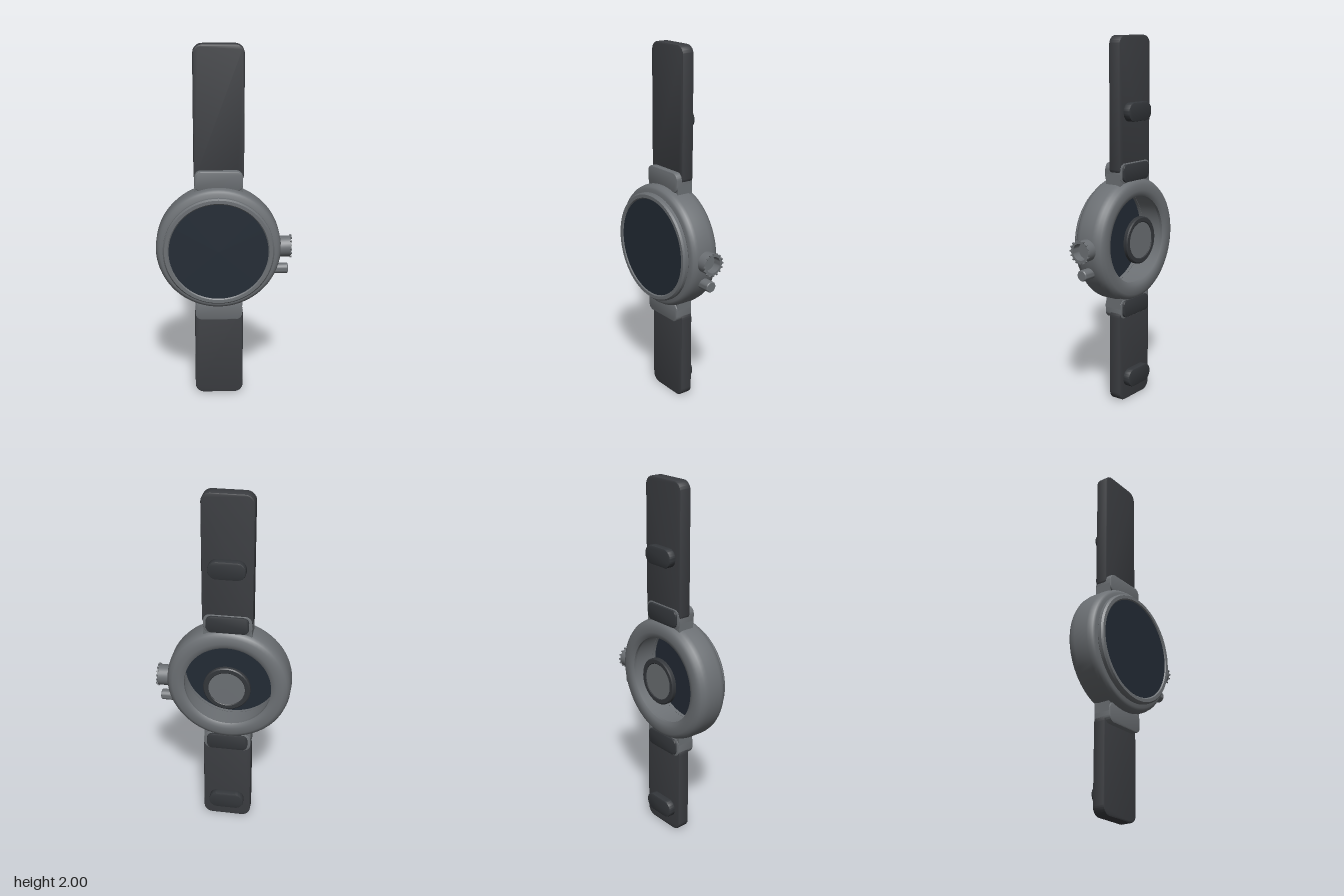
import * as THREE from 'three';
import { toCreasedNormals } from 'three/addons/utils/BufferGeometryUtils.js';

const CX = -0.03, CY = 0.905; // centre of the watch case

const mat = (color) => new THREE.MeshStandardMaterial({ color });
const metal = mat(0x6c7074);
const band = mat(0x3b3d41);
const glass = mat(0x232b35);
const dark = mat(0x34373b);

function add(parent, name, geometry, material, x = 0, y = 0, z = 0) {
  const mesh = new THREE.Mesh(toCreasedNormals(geometry, 0.6), material);
  mesh.name = name;
  mesh.position.set(x, y, z);
  parent.add(mesh);
  return mesh;
}

// Turned part whose axis points to the front; profile is [radius, z]
function turned(profile, segments = 72) {
  const pts = profile.map(([r, z]) => new THREE.Vector2(r, z));
  return new THREE.LatheGeometry(pts, segments).rotateX(Math.PI / 2);
}

// Rounded plate in the xy plane, spanning z0..z1, with bevelled edges
function plate(w, h, r, z0, z1, bevel) {
  const a = w / 2 - bevel, b = h / 2 - bevel, c = r - bevel;
  const s = new THREE.Shape();
  s.absarc(a - c, b - c, c, 0, Math.PI / 2);
  s.absarc(-a + c, b - c, c, Math.PI / 2, Math.PI);
  s.absarc(-a + c, -b + c, c, Math.PI, Math.PI * 1.5);
  s.absarc(a - c, -b + c, c, Math.PI * 1.5, Math.PI * 2);
  s.closePath();
  return new THREE.ExtrudeGeometry(s, {
    depth: z1 - z0 - 2 * bevel, curveSegments: 8,
    bevelEnabled: true, bevelThickness: bevel, bevelSize: bevel, bevelSegments: 2,
  }).translate(0, 0, z0 + bevel);
}

function createCase() {
  const g = new THREE.Group();
  g.name = 'watchCase';
  g.position.set(CX, CY, 0);
  // Hollow body, open at the back
  add(g, 'caseBody', turned([
    [0.24, -0.086], [0.252, -0.094], [0.27, -0.097], [0.305, -0.096], [0.325, -0.085], [0.337, -0.066],
    [0.342, -0.04], [0.342, 0.04], [0.338, 0.058], [0.33, 0.071], [0.318, 0.078],
    [0.27, 0.078], [0.27, -0.06], [0.24, -0.07], [0.24, -0.086],
  ]), metal);
  add(g, 'bezel', turned([
    [0.268, 0.07], [0.294, 0.076], [0.302, 0.084], [0.302, 0.102], [0.294, 0.112],
    [0.276, 0.112], [0.268, 0.104], [0.268, 0.07],
  ]), metal);
  add(g, 'screen', turned([[0, 0.09], [0.27, 0.09], [0.27, 0.107], [0, 0.107]]), glass);
  // Sensor held in the middle of the open back
  add(g, 'sensorRing', turned([
    [0.1, -0.11], [0.104, -0.113], [0.124, -0.113], [0.13, -0.108],
    [0.13, -0.09], [0.1, -0.09], [0.1, -0.11],
  ], 48), dark);
  add(g, 'sensorFace', turned([[0, -0.109], [0.102, -0.109], [0.102, -0.092], [0, -0.092]], 48), metal);
  return g;
}

// Strap half from y0 to y1 with its fastening stud on the back
function createStrap(name, y0, y1, studY) {
  const g = new THREE.Group();
  g.name = name;
  add(g, 'strapBand', plate(0.272, y1 - y0, 0.05, -0.07, 0, 0.006), band, -0.027, (y0 + y1) / 2);
  add(g, 'strapStud', plate(0.2, 0.1, 0.048, -0.108, -0.06, 0.006), dark, -0.027, studY);
  return g;
}

// Strap holder; dir is +1 above the case and -1 below it
function createLug(name, dir) {
  const g = new THREE.Group();
  g.name = name;
  const y = CY + dir * 0.375;
  add(g, 'lugPlate', plate(0.262, 0.11, 0.036, -0.072, 0.033, 0.005), metal, CX + 0.002, y);
  add(g, 'lugBackPlate', plate(0.23, 0.095, 0.03, -0.083, -0.06, 0.004), dark, CX + 0.002, y);
  add(g, 'lugBase', new THREE.BoxGeometry(0.262, 0.075, 0.095), metal, CX + 0.002, CY + dir * 0.333, -0.022);
  return g;
}

function createCrown() {
  const g = new THREE.Group();
  g.name = 'crown';
  g.position.set(0.29, 0.9, -0.007);
  g.rotation.y = Math.PI / 2; // local z points along +x
  // Hollow cup
  add(g, 'crownCup', turned([
    [0, 0], [0.058, 0], [0.058, 0.078], [0.045, 0.078], [0.045, 0.03], [0, 0.03],
  ], 32), metal);
  // Grip teeth around the outer rim
  const n = 16;
  for (let i = 0; i < n; i++) {
    const a = (i / n) * Math.PI * 2;
    const tooth = add(g, 'crownTooth', new THREE.BoxGeometry(0.01, 0.008, 0.01), metal,
      Math.cos(a) * 0.059, Math.sin(a) * 0.059, 0.077);
    tooth.rotation.z = a;
  }
  return g;
}

export function createModel() {
  const model = new THREE.Group();
  model.name = 'wristwatch';
  model.add(createCase());
  model.add(createStrap('upperStrap', 1.26, 2, 1.603));
  model.add(createStrap('lowerStrap', 0, 0.535, 0.125));
  model.add(createLug('upperLug', 1));
  model.add(createLug('lowerLug', -1));
  model.add(createCrown());
  // Side button below the crown
  const button = turned([[0, 0], [0.03, 0], [0.03, 0.085], [0.026, 0.09], [0, 0.09]], 24)
    .rotateY(Math.PI / 2);
  add(model, 'sideButton', button, metal, 0.265, 0.77, -0.007);
  return model;
}
